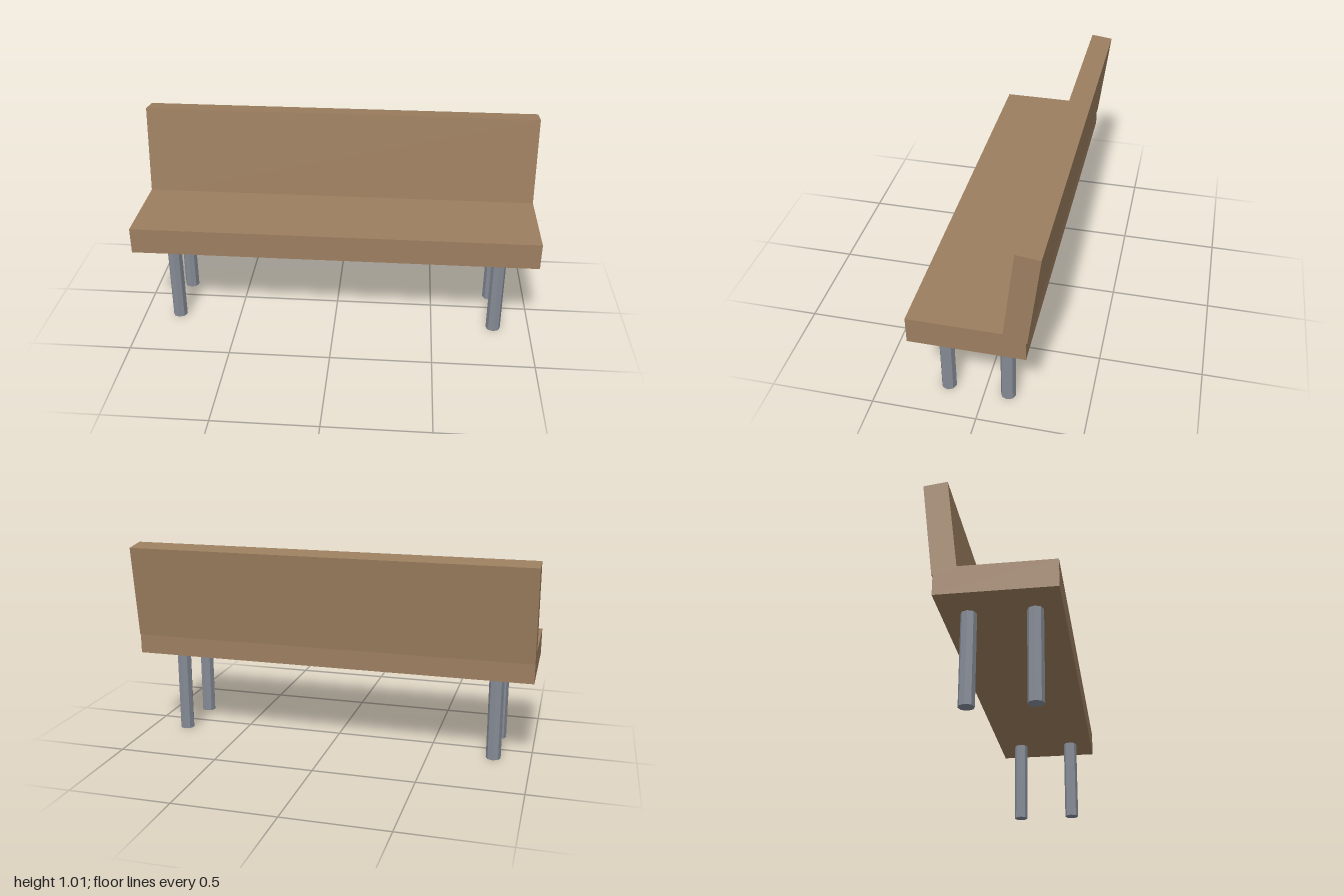
import * as THREE from 'three';

export function createModel() {
  const bench = new THREE.Group();
  bench.name = 'bench';
  const wood = new THREE.MeshStandardMaterial({ color: 0x9c7e5f, flatShading: true });
  wood.name = 'wood';
  const steel = new THREE.MeshStandardMaterial({ color: 0x858b96, flatShading: true });
  steel.name = 'steel';

  const add = (name, geometry, material, x, y, z) => {
    const mesh = new THREE.Mesh(geometry, material);
    mesh.name = name;
    mesh.position.set(x, y, z);
    bench.add(mesh);
    return mesh;
  };

  // Thick seat slab
  add('seat', new THREE.BoxGeometry(2, 0.131, 0.533), wood, 0, 0.5015, 0.0315);

  // Backrest leaning slightly backwards, its foot sunk into the seat
  const backrest = add('backrest', new THREE.BoxGeometry(2, 0.464, 0.11), wood, 0, 0.77, -0.2135);
  backrest.rotation.x = -0.12;

  // Four eight-sided legs
  const legGeometry = new THREE.CylinderGeometry(0.0365, 0.0365, 0.436, 8);
  for (const [side, x] of [['left', 0.818], ['right', -0.818]]) {
    for (const [end, z] of [['Front', 0.177], ['Back', -0.113]]) {
      add(`${side}${end}Leg`, legGeometry, steel, x, 0.218, z);
    }
  }

  return bench;
}
